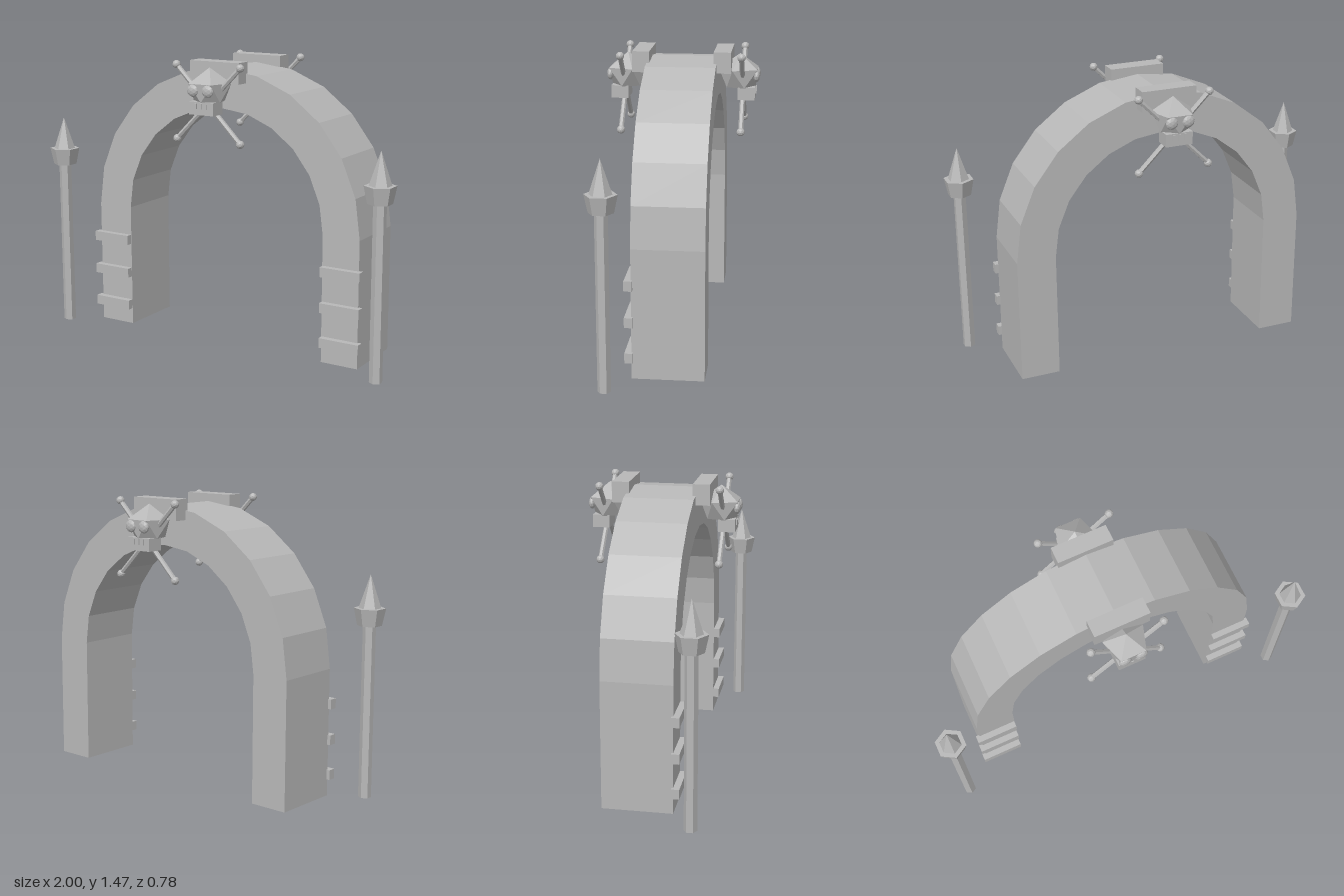
import * as THREE from 'three';
import { ConvexGeometry } from 'three/addons/geometries/ConvexGeometry.js';

const stone = new THREE.MeshStandardMaterial({ color: 0xb8b8b8, flatShading: true });
stone.name = 'grey stone';

function add(parent, name, geometry, x = 0, y = 0, z = 0) {
  const mesh = new THREE.Mesh(geometry, stone);
  mesh.name = name;
  mesh.position.set(x, y, z);
  parent.add(mesh);
  return mesh;
}

// Horseshoe outline: straight legs and a twelve-sided half ring
function archGeometry() {
  const springY = 0.65, outer = 0.78, inner = 0.58, steps = 12;
  const points = [new THREE.Vector2(outer, 0)];
  const arc = (r, i) => {
    const a = (i / steps) * Math.PI;
    points.push(new THREE.Vector2(r * Math.cos(a), springY + r * Math.sin(a)));
  };
  for (let i = 0; i <= steps; i++) arc(outer, i);
  points.push(new THREE.Vector2(-outer, 0), new THREE.Vector2(-inner, 0));
  for (let i = steps; i >= 0; i--) arc(inner, i);
  points.push(new THREE.Vector2(inner, 0));
  const geometry = new THREE.ExtrudeGeometry(new THREE.Shape(points), { depth: 0.35, bevelEnabled: false });
  return geometry.translate(0, 0, -0.175);
}

// Faceted skull: a peak over two staggered five-sided rings
function craniumGeometry() {
  const points = [new THREE.Vector3(0, 1.445, 0.285)];
  const ring = (r, y, turn) => {
    for (let i = 0; i < 5; i++) {
      const a = turn + (i / 5) * Math.PI * 2;
      points.push(new THREE.Vector3(r * Math.sin(a), y, 0.285 + r * Math.cos(a)));
    }
  };
  ring(0.11, 1.37, Math.PI / 5);
  ring(0.08, 1.278, 0);
  return new ConvexGeometry(points);
}

// Skull, crossed bones and the block behind them
function makeSkull(name) {
  const group = new THREE.Group();
  group.name = name;
  add(group, 'backingBlock', new THREE.BoxGeometry(0.285, 0.105, 0.086), 0, 1.417, 0.203);
  add(group, 'cranium', craniumGeometry());
  add(group, 'jaw', new THREE.BoxGeometry(0.14, 0.064, 0.086), 0, 1.25, 0.32);
  for (const s of [-1, 1]) {
    add(group, 'eye', new THREE.IcosahedronGeometry(0.032, 1), s * 0.043, 1.338, 0.37).scale.z = 0.55;
    add(group, 'bone', new THREE.CylinderGeometry(0.0125, 0.0125, 0.523, 6), 0, 1.266, 0.3)
      .rotation.z = s * Math.PI / 4;
    for (const t of [-1, 1]) {
      add(group, 'boneKnob', new THREE.IcosahedronGeometry(0.021, 1), s * 0.185, 1.266 + t * 0.186, 0.3);
    }
  }
  for (const x of [-0.03, 0, 0.03]) {
    add(group, 'tooth', new THREE.BoxGeometry(0.012, 0.028, 0.008), x, 1.262, 0.365);
  }
  return group;
}

// Six-sided torch on a pole
function makeTorch(x) {
  const group = new THREE.Group();
  group.name = x > 0 ? 'leftTorch' : 'rightTorch';
  group.position.set(x, 0, 0.283);
  add(group, 'pole', new THREE.CylinderGeometry(0.032, 0.032, 0.88, 6), 0, 0.44, 0);
  add(group, 'bowl', new THREE.CylinderGeometry(0.078, 0.06, 0.086, 6), 0, 0.914, 0);
  add(group, 'flame', new THREE.ConeGeometry(0.055, 0.166, 6), 0, 1.039, 0);
  return group;
}

export function createModel() {
  const model = new THREE.Group();
  model.name = 'skullArch';
  add(model, 'arch', archGeometry());

  // Raised bands on the front of each leg
  for (const s of [-1, 1]) {
    for (const y of [0.11, 0.29, 0.473]) {
      add(model, 'legBand', new THREE.BoxGeometry(0.216, 0.05, 0.04), s * 0.69, y, 0.187);
    }
    model.add(makeTorch(s * 0.932));
  }

  const back = makeSkull('backSkull');
  back.rotation.y = Math.PI;
  model.add(makeSkull('frontSkull'), back);
  return model;
}
